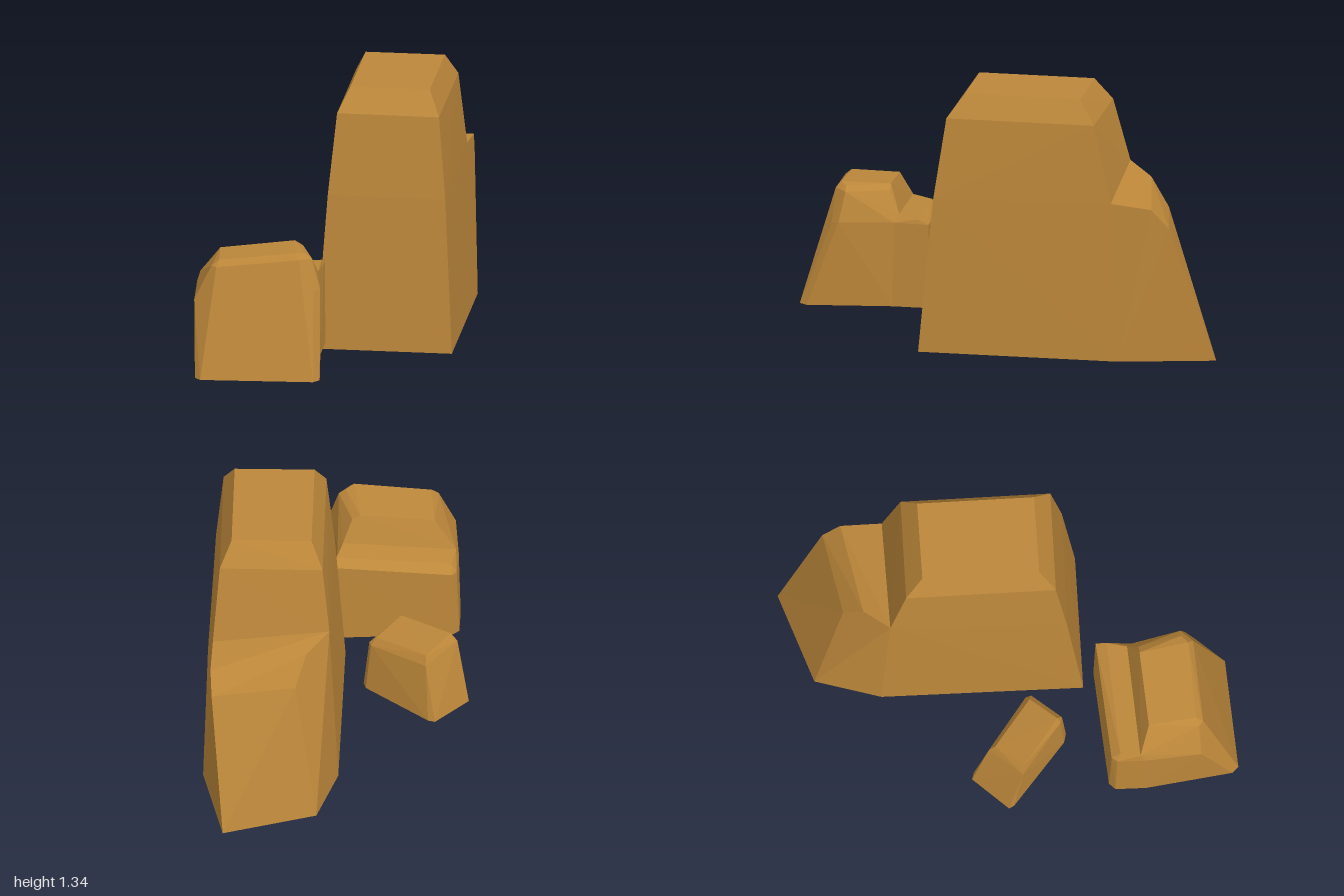
import * as THREE from 'three';
import { ConvexGeometry } from 'three/addons/geometries/ConvexGeometry.js';

const sandstone = new THREE.MeshStandardMaterial({ color: 0xbc873a });
sandstone.name = 'sandstone';

// One faceted block, as the hull of its corners
function block(name, corners) {
  const points = corners.map(([x, y, z]) => new THREE.Vector3(x, y, z));
  const mesh = new THREE.Mesh(new ConvexGeometry(points), sandstone);
  mesh.name = name;
  return mesh;
}

function rock(name, ...blocks) {
  const group = new THREE.Group();
  group.name = name;
  group.add(...blocks);
  return group;
}

export function createModel() {
  const model = new THREE.Group();
  model.name = 'rockGroup';

  // Tall boulder: tapering tower with a lower shelf behind it
  model.add(rock('tallBoulder',
    block('tallBoulderTower', [
      [-0.15, 0, 0.28], [0.52, 0, 0.49], [0.83, 0, -0.5], [0.17, 0, -0.7],
      [-0.075, 0.8, 0.22], [0.5, 0.8, 0.41], [0.77, 0.82, -0.47], [0.2, 0.89, -0.64],
      [-0.02, 1.22, 0.18], [0.48, 1.22, 0.34], [0.71, 1.22, -0.39], [0.21, 1.22, -0.55],
      [0.06, 1.34, 0.12], [0.45, 1.34, 0.24], [0.63, 1.34, -0.33], [0.24, 1.34, -0.45],
    ]),
    block('tallBoulderShelf', [
      [0.83, 0, -0.5], [0.17, 0, -0.7], [0.37, 0, -0.99], [0.87, 0, -1],
      [0.77, 0.82, -0.47], [0.2, 0.89, -0.64],
      [0.35, 0.84, -0.73], [0.84, 0.8, -0.67],
      [0.43, 0.7, -0.81], [0.86, 0.7, -0.76],
    ])));

  // Medium boulder: bevelled front block with a narrow shelf behind it
  model.add(rock('mediumBoulder',
    block('mediumBoulderBody', [
      [-0.87, 0.05, 0.82], [-0.85, 0.05, 0.86], [-0.29, 0.05, 1], [-0.25, 0.05, 0.97],
      [-0.17, 0.05, 0.54], [-0.79, 0.05, 0.38],
      [-0.845, 0.42, 0.66], [-0.82, 0.41, 0.7], [-0.26, 0.48, 0.84], [-0.22, 0.49, 0.81],
      [-0.18, 0.49, 0.53], [-0.78, 0.43, 0.38], [-0.76, 0.475, 0.36], [-0.2, 0.53, 0.5],
      [-0.74, 0.6, 0.71], [-0.76, 0.6, 0.68], [-0.33, 0.645, 0.81], [-0.255, 0.64, 0.77],
      [-0.72, 0.63, 0.68], [-0.34, 0.675, 0.78], [-0.29, 0.665, 0.76],
      [-0.67, 0.62, 0.44], [-0.3, 0.665, 0.53], [-0.26, 0.64, 0.54],
    ]),
    block('mediumBoulderShelf', [
      [-0.74, 0.05, 0.23], [-0.7, 0.05, 0.21], [-0.11, 0.05, 0.35], [-0.12, 0.05, 0.38],
      [-0.17, 0.05, 0.54], [-0.79, 0.05, 0.38],
      [-0.73, 0.42, 0.245], [-0.7, 0.42, 0.225], [-0.115, 0.49, 0.36], [-0.125, 0.49, 0.39],
      [-0.18, 0.49, 0.53], [-0.78, 0.43, 0.38],
      [-0.71, 0.46, 0.27], [-0.14, 0.515, 0.41], [-0.2, 0.53, 0.5], [-0.76, 0.475, 0.36],
    ])));

  // Small stone: slanted back and bevelled top
  model.add(rock('smallStone',
    block('smallStoneBody', [
      [-0.635, 0.02, -0.31], [-0.42, 0.02, -0.43], [-0.39, 0.02, -0.41], [-0.16, 0.02, -0.06],
      [-0.16, 0.02, -0.02], [-0.36, 0.02, 0.105], [-0.4, 0.02, 0.08], [-0.63, 0.02, -0.28],
      [-0.6, 0.35, -0.22], [-0.4, 0.31, -0.33], [-0.19, 0.28, -0.05], [-0.19, 0.28, -0.02],
      [-0.37, 0.32, 0.08], [-0.4, 0.33, 0.06],
      [-0.57, 0.39, -0.2], [-0.41, 0.355, -0.3], [-0.22, 0.32, -0.04], [-0.38, 0.36, 0.05],
    ])));

  return model;
}
